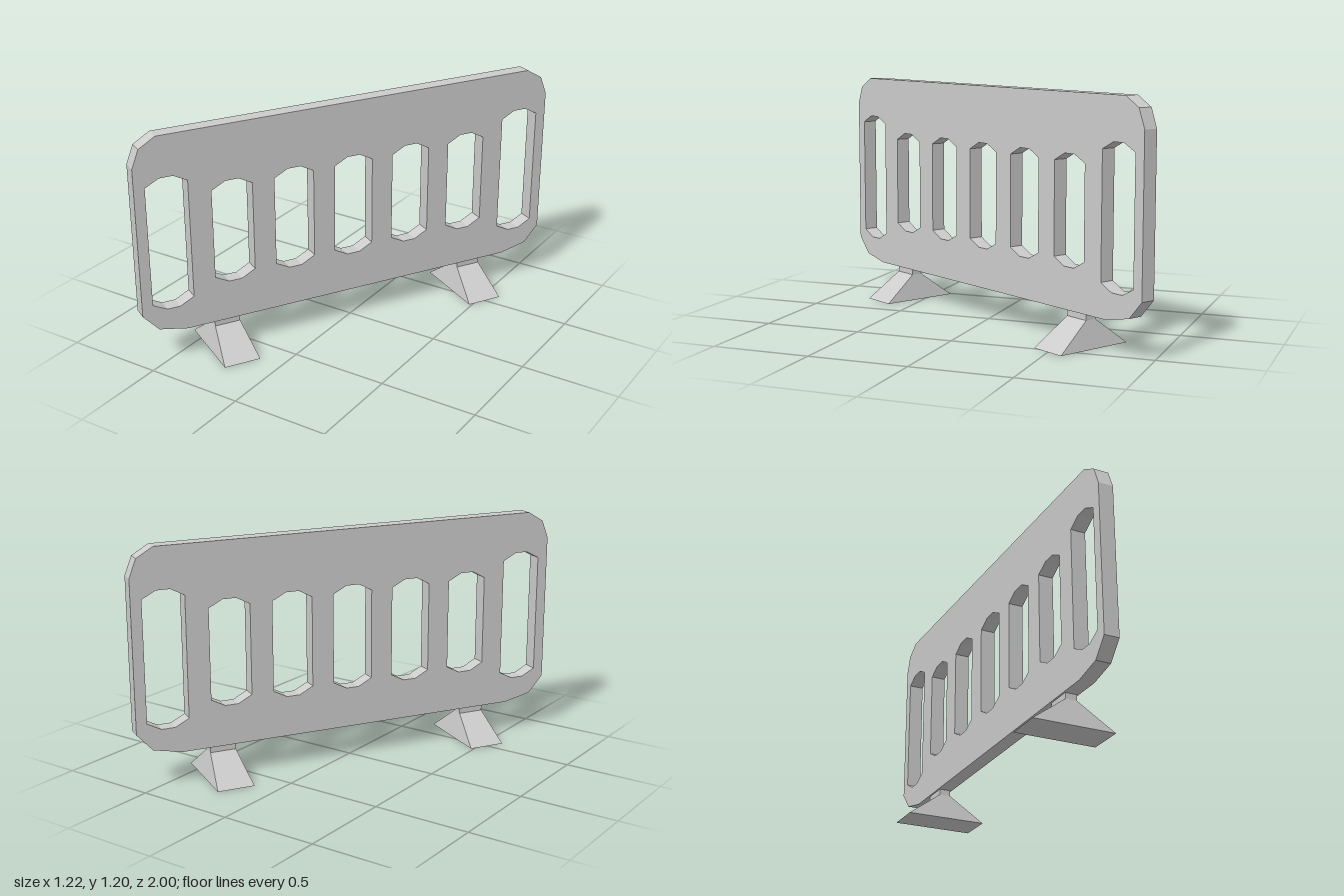
import * as THREE from 'three';

const material = new THREE.MeshStandardMaterial({ color: 0xcccccc, flatShading: true });
const THICKNESS = 0.076;

// Closed loop symmetric about (cx, cy), from its right-hand upper and lower corners
function mirroredLoop(Type, cx, rightSide) {
  const right = rightSide.map(([x, y]) => new THREE.Vector2(cx + x, y));
  const left = rightSide.map(([x, y]) => new THREE.Vector2(cx - x, y)).reverse();
  return new Type([...right, ...left]);
}

// Upright slot with chamfered ends
function slot(cx, bottom, top) {
  const chamfer = 0.037;
  return mirroredLoop(THREE.Path, cx, [
    [0.034, bottom], [0.105, bottom + chamfer], [0.105, top - chamfer], [0.034, top],
  ]);
}

function createPanel() {
  const outline = mirroredLoop(THREE.Shape, 0, [
    [0.91, 0.165], [1.057, 0.197], [1.136, 0.285],
    [1.136, 1.052], [1.1, 1.145], [1.016, 1.195],
  ]);
  // Five short slots between two taller end slots
  for (let i = -3; i <= 3; i++) {
    const end = Math.abs(i) === 3;
    outline.holes.push(slot(i * 0.3255, end ? 0.297 : 0.372, end ? 0.985 : 0.908));
  }
  const geometry = new THREE.ExtrudeGeometry(outline, { depth: THICKNESS, bevelEnabled: false });
  geometry.translate(0, 0, -THICKNESS / 2);
  const panel = new THREE.Mesh(geometry, material);
  panel.name = 'panel';
  return panel;
}

function createFoot(x) {
  const foot = new THREE.Group();
  foot.name = x > 0 ? 'leftFoot' : 'rightFoot';
  const neckWidth = 0.133, neckDepth = 0.058, baseHeight = 0.135, neckHeight = 0.03;

  // Base: a box whose top narrows to the neck
  const baseGeometry = new THREE.BoxGeometry(0.188, baseHeight, 0.418);
  const p = baseGeometry.attributes.position;
  for (let i = 0; i < p.count; i++) {
    if (p.getY(i) > 0) {
      p.setX(i, Math.sign(p.getX(i)) * neckWidth / 2);
      p.setZ(i, Math.sign(p.getZ(i)) * neckDepth / 2);
    }
  }
  baseGeometry.computeVertexNormals();
  const base = new THREE.Mesh(baseGeometry, material);
  base.name = 'footBase';
  base.position.y = baseHeight / 2;

  const neck = new THREE.Mesh(new THREE.BoxGeometry(neckWidth, neckHeight, neckDepth), material);
  neck.name = 'footNeck';
  neck.position.y = baseHeight + neckHeight / 2;

  foot.add(base, neck);
  foot.position.x = x;
  return foot;
}

export function createModel() {
  const model = new THREE.Group();
  model.name = 'barrier';
  // The whole barrier stands diagonally
  const barrier = new THREE.Group();
  barrier.name = 'barrierBody';
  barrier.rotation.y = THREE.MathUtils.degToRad(59.6);
  barrier.add(createPanel(), createFoot(-0.7), createFoot(0.7));
  model.add(barrier);
  return model;
}
